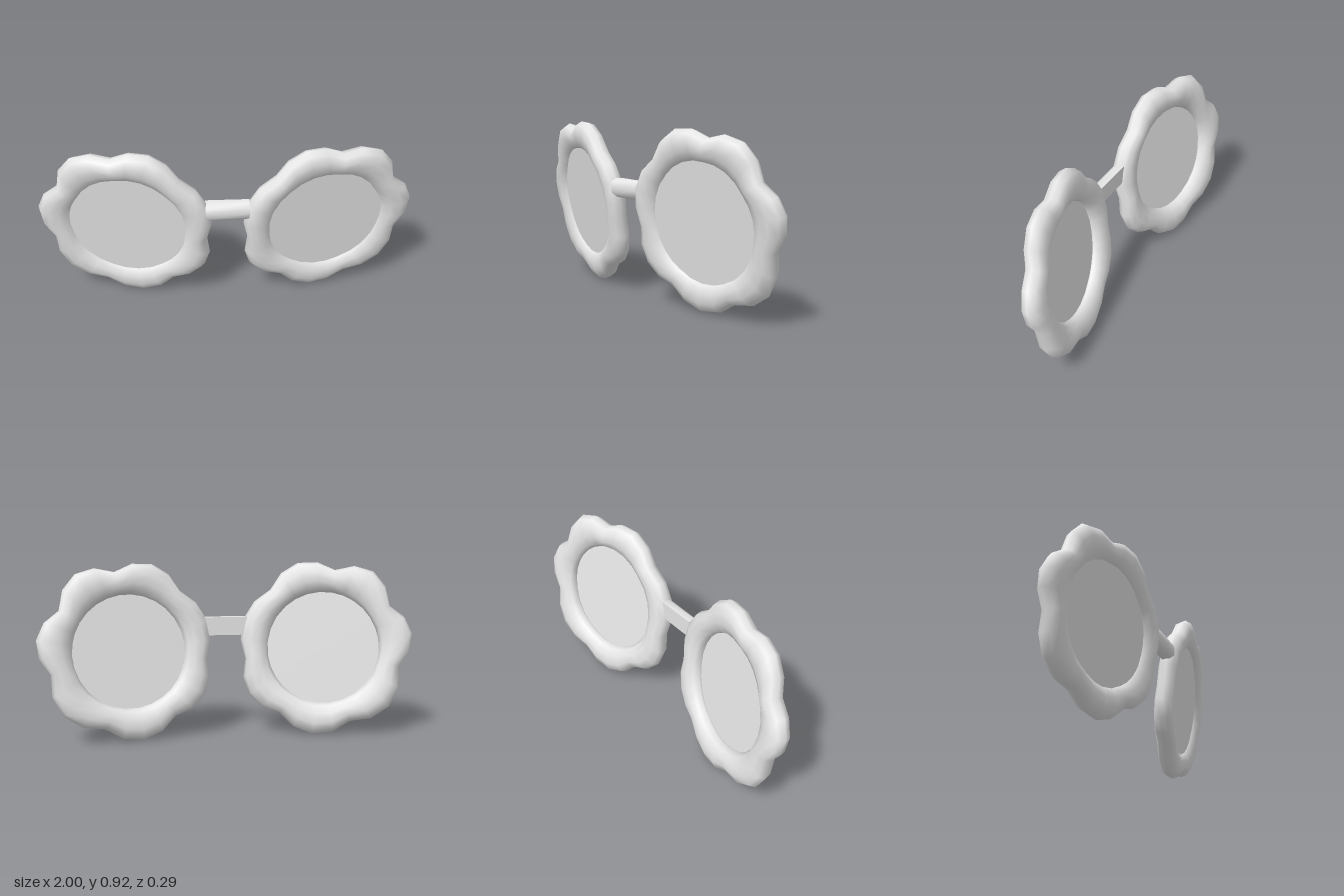
import * as THREE from 'three';
import { toCreasedNormals } from 'three/addons/utils/BufferGeometryUtils.js';

// Valley angles (degrees) between the seven petals, and each petal's outer radius
const VALLEYS = [80, 131, 187, 235, 289, 345, 391, 440];
const PEAKS = [0.48, 0.46, 0.476, 0.474, 0.48, 0.488, 0.494];
const INNER = 0.302, VALLEY = 0.426, STEPS = 4, SIDES = 10, DEPTH = 0.054;

// Petal-shaped tube: a section thinner at its inner edge, swelling at each petal
function petalRing(side) {
  const pos = [], index = [];
  PEAKS.forEach((peak, k) => {
    for (let i = 0; i < STEPS; i++) {
      const t = i / STEPS, bulge = Math.sin(Math.PI * t);
      const a = THREE.MathUtils.degToRad(THREE.MathUtils.lerp(VALLEYS[k], VALLEYS[k + 1], t));
      const outer = VALLEY + (peak - VALLEY) * bulge;
      const mid = (outer + INNER) / 2, half = (outer - INNER) / 2;
      for (let j = 0; j < SIDES; j++) {
        const p = (j / SIDES) * Math.PI * 2;
        const r = mid + half * Math.cos(p);
        const z = DEPTH * Math.sin(p) * (1 + 0.1 * Math.cos(p));
        pos.push(side * r * Math.cos(a), r * Math.sin(a), z);
      }
    }
  });
  const rings = PEAKS.length * STEPS;
  for (let i = 0; i < rings; i++) {
    for (let j = 0; j < SIDES; j++) {
      const i2 = (i + 1) % rings, j2 = (j + 1) % SIDES;
      const a = i * SIDES + j, b = i2 * SIDES + j, c = i2 * SIDES + j2, d = i * SIDES + j2;
      if (side > 0) index.push(a, b, c, a, c, d);
      else index.push(a, c, b, a, d, c);
    }
  }
  const geo = new THREE.BufferGeometry();
  geo.setAttribute('position', new THREE.Float32BufferAttribute(pos, 3));
  geo.setIndex(index);
  geo.computeVertexNormals();
  return geo;
}

export function createModel() {
  const model = new THREE.Group();
  model.name = 'flowerGlasses';
  const grey = new THREE.MeshStandardMaterial({ color: 0xe7e7e7 });
  grey.name = 'light grey';

  const add = (parent, name, geo) => {
    const mesh = new THREE.Mesh(geo, grey);
    mesh.name = name;
    parent.add(mesh);
    return mesh;
  };

  // Two mirrored eyepieces, swept back at the outside and leaning forward at the top
  for (const side of [1, -1]) {
    const eye = new THREE.Group();
    eye.name = side > 0 ? 'leftEyepiece' : 'rightEyepiece';
    add(eye, 'petalFrame', petalRing(side));
    const lens = add(eye, 'lens', new THREE.CylinderGeometry(0.325, 0.325, 0.008, 12).rotateX(Math.PI / 2));
    lens.position.z = 0.018;
    eye.position.set(side * 0.523, 0.47, 0);
    eye.rotation.set(0.145, side * 0.178, 0);
    model.add(eye);
  }

  // Nose bridge: flat back, softly rounded front
  const profile = new THREE.Shape([
    [0.06, 0.54], [0.1, 0.54], [0.122, 0.56], [0.125, 0.59],
    [0.122, 0.62], [0.1, 0.638], [0.06, 0.638],
  ].map(([z, y]) => new THREE.Vector2(-z, y)));
  const bridge = new THREE.ExtrudeGeometry(profile, { depth: 0.23, bevelEnabled: false });
  bridge.translate(0, 0, -0.115).rotateY(Math.PI / 2);
  add(model, 'bridge', toCreasedNormals(bridge, 1));

  return model;
}
